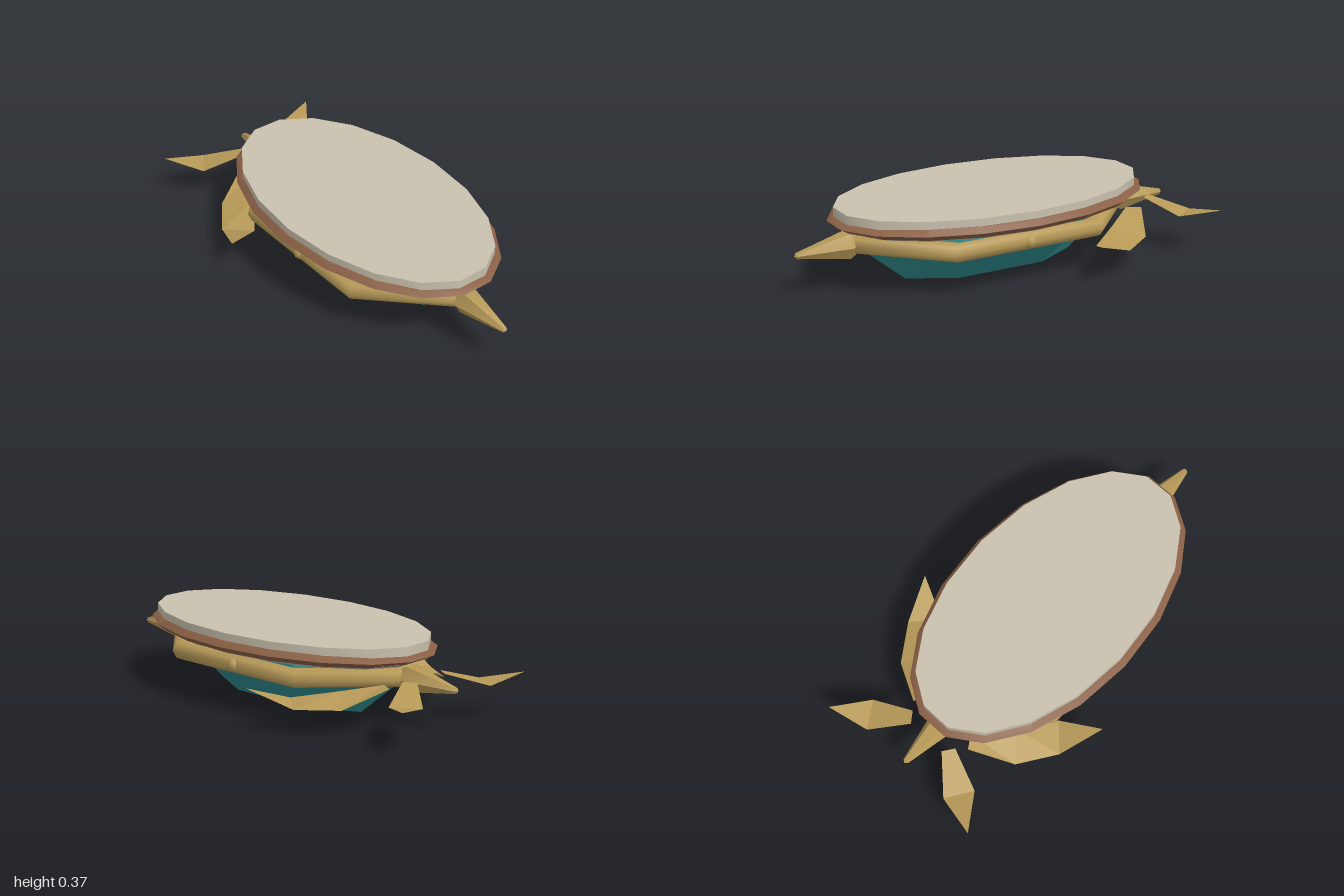
import * as THREE from 'three';
import { toCreasedNormals } from 'three/addons/utils/BufferGeometryUtils.js';

const mat = (name, color, side = THREE.FrontSide) => {
  const m = new THREE.MeshStandardMaterial({ color, side });
  m.name = name;
  return m;
};

export function createModel() {
  const stone = mat('pale stone', 0xc9c1ae);
  const wood = mat('brown rim', 0x8a6046);
  const gold = mat('antique gold', 0xb89a58, THREE.DoubleSide);
  const teal = mat('teal gem', 0x2f8a8c);

  const model = new THREE.Group();
  const body = new THREE.Group();
  body.name = 'body';
  body.position.z = 0.02;
  model.add(body);

  const add = (parent, name, geo, material) => {
    const m = new THREE.Mesh(geo, material);
    m.name = name;
    parent.add(m);
    return m;
  };

  // 18-sided oval turned from a [radius, height] profile
  const oval = (profile, stretch) => {
    const g = new THREE.LatheGeometry(profile.map(p => new THREE.Vector2(...p)), 18, Math.PI / 2);
    g.scale(1, 1, stretch);
    return toCreasedNormals(g, 0.7);
  };
  add(body, 'stoneTop', oval([[0, 0.27], [0.395, 0.27], [0.425, 0.29], [0.425, 0.37], [0, 0.37]], 1.8), stone);
  add(body, 'rim', oval([[0.42, 0.285], [0.43, 0.285], [0.455, 0.31], [0.43, 0.335], [0.42, 0.335]], 1.75), wood);

  // Faceted gem: stretched hexagons [height, side x, side z, end z]
  const rings = [[0, 0.115, 0.22, 0.44], [0.19, 0.288, 0.285, 0.67], [0.275, 0.27, 0.272, 0.634]].map(
    ([y, x, z, e]) => [[0, y, e], [x, y, z], [x, y, -z], [0, y, -e], [-x, y, -z], [-x, y, z]]);
  const pos = [];
  const tri = (...pts) => pts.forEach(p => pos.push(...p));
  for (let i = 0; i < 6; i++) {
    const j = (i + 1) % 6;
    for (let k = 0; k < 2; k++) {
      const [lo, hi] = [rings[k], rings[k + 1]];
      tri(lo[i], lo[j], hi[j]);
      tri(lo[i], hi[j], hi[i]);
    }
    tri([0, 0, 0], rings[0][j], rings[0][i]);
    tri([0, 0.275, 0], rings[2][i], rings[2][j]);
  }
  const gemGeo = new THREE.BufferGeometry();
  gemGeo.setAttribute('position', new THREE.Float32BufferAttribute(pos, 3));
  gemGeo.computeVertexNormals();
  add(body, 'gem', gemGeo, teal);

  // Six-sided gold band around the gem
  const band = new THREE.TorusGeometry(0.394, 0.045, 8, 6);
  band.rotateZ(Math.PI / 2);
  band.rotateX(Math.PI / 2);
  band.scale(1, 1, 1.75);
  add(body, 'band', band, gold).position.y = 0.211;

  // Spikes at the front and back
  const spikeGeo = toCreasedNormals(new THREE.LatheGeometry(
    [[0, 0], [0.05, 0], [0.066, 0.03], [0.014, 0.275], [0, 0.285]].map(p => new THREE.Vector2(...p)),
    6, Math.PI / 2), 0.7);
  spikeGeo.rotateX(Math.PI / 2 + 0.045);
  for (const [name, turn] of [['frontSpike', 0], ['backSpike', Math.PI]]) {
    const s = add(body, name, spikeGeo, gold);
    s.rotation.y = turn;
    s.position.set(0, 0.213, 0.692 * Math.cos(turn));
  }

  // Leaves: rows of [outer, inner] edge points ending in a tip
  const leaf = (rows, tip, side) => {
    const p = [];
    const put = (...pts) => {
      if (side < 0) pts.reverse();
      pts.forEach(([x, y, z]) => p.push(x * side, y, z));
    };
    for (let i = 0; i < rows.length - 1; i++) {
      const [a, b] = rows[i], [c, d] = rows[i + 1];
      put(a, b, c);
      put(b, d, c);
    }
    const [a, b] = rows[rows.length - 1];
    put(a, b, tip);
    const g = new THREE.BufferGeometry();
    g.setAttribute('position', new THREE.Float32BufferAttribute(p, 3));
    g.computeVertexNormals();
    return g;
  };
  const sideRows = [
    [[0.17, 0.2, -0.72], [0.13, 0.2, -0.66]],
    [[0.36, 0.125, -0.615], [0.25, 0.165, -0.5]],
    [[0.476, 0.12, -0.445], [0.37, 0.13, -0.33]],
  ];
  const backRows = [
    [[0.132, 0.232, -0.76], [0.095, 0.232, -0.81]],
    [[0.317, 0.175, -0.835], [0.238, 0.175, -0.955]],
  ];
  for (const [label, s] of [['left', 1], ['right', -1]]) {
    add(model, label + 'SideLeaf', leaf(sideRows, [0.556, 0.193, -0.24], s), gold);
    add(model, label + 'BackLeaf', leaf(backRows, [0.432, 0.21, -1], s), gold);
    // Small bead on the side of the band
    const bead = add(body, label + 'Bead', new THREE.SphereGeometry(0.034, 8, 6), gold);
    bead.position.set(0.36 * s, 0.21, 0);
  }
  return model;
}
